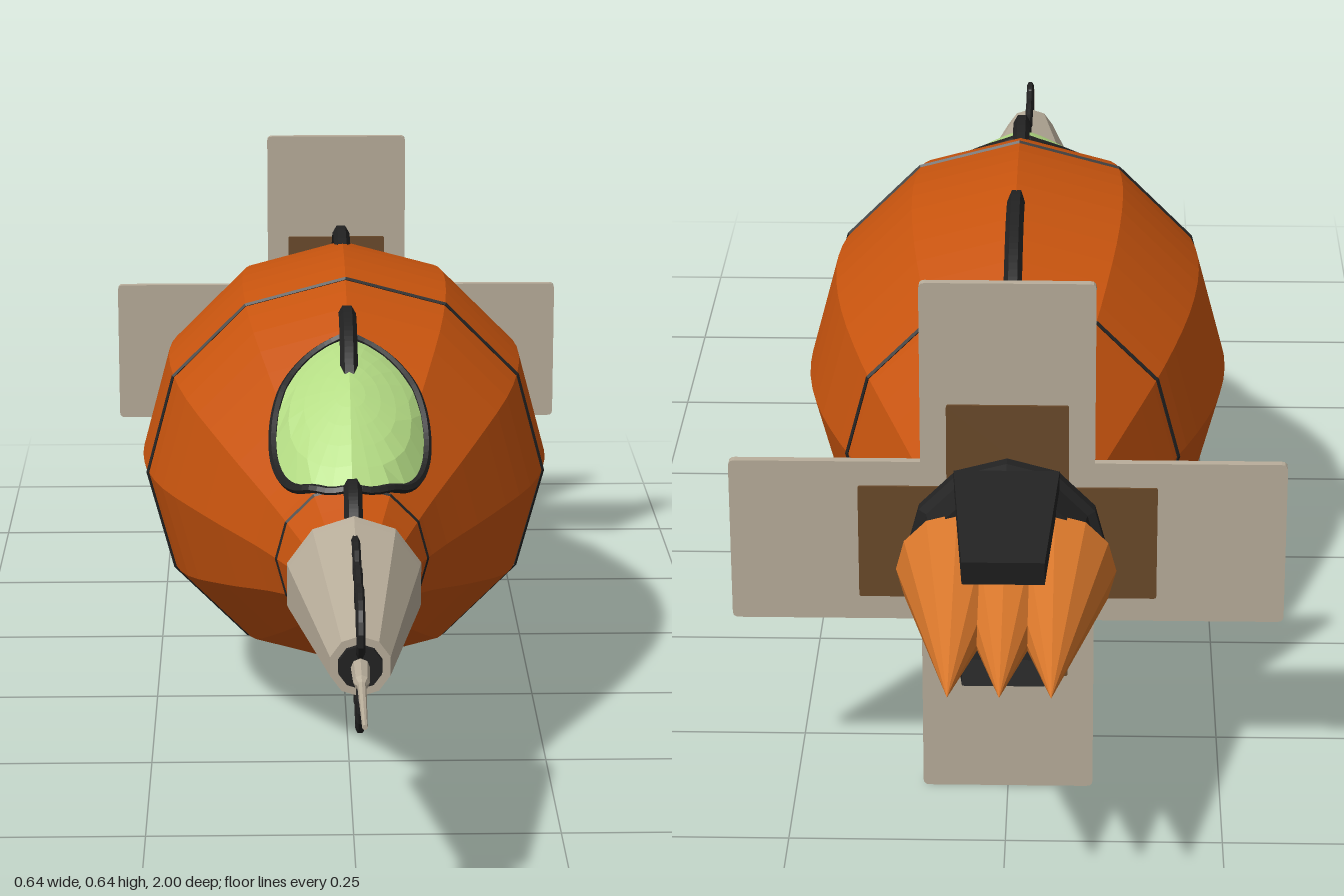
import * as THREE from 'three';

const AXIS = 0.32; // height of the long axis

const mat = (name, color, extra = {}) =>
  Object.assign(new THREE.MeshStandardMaterial({ color, ...extra }), { name });

// Hull radii at equal steps from z = -0.64 to z = 0.52
const Z0 = -0.64, Z1 = 0.52;
const radii = [0.085, 0.15, 0.212, 0.254, 0.266, 0.243, 0.18, 0.107, 0.045];
const profile = new THREE.SplineCurve(
  radii.map((r, i) => new THREE.Vector2(Z0 + (Z1 - Z0) * i / 8, r)));
const radiusAt = z => profile.getPoint(THREE.MathUtils.clamp((z - Z0) / (Z1 - Z0), 0, 1)).y;

// Height of the twelve-sided hull above its axis
function hullHeight(x, z) {
  const r = radiusAt(z), a = Math.abs(x);
  return a < r / 2 ? r - a * 0.268 : 0.866 * r - (a - r / 2);
}

export function createModel() {
  const model = new THREE.Group();
  model.name = 'airship';
  const flat = { flatShading: true };
  const orange = mat('hullOrange', 0xc8540e, flat);
  const lightOrange = mat('exhaustOrange', 0xd8772b, flat);
  const beige = mat('finBeige', 0xb9ae9b, flat);
  const brown = mat('panelBrown', 0x6b4a2a, flat);
  const black = mat('cordBlack', 0x222222, flat);
  const green = mat('canopyGreen', 0xb4dc84, { flatShading: true, side: THREE.DoubleSide });

  const add = (name, geometry, material, x = 0, y = 0, z = 0) => {
    const mesh = new THREE.Mesh(geometry, material);
    mesh.name = name;
    mesh.position.set(x, y, z);
    model.add(mesh);
    return mesh;
  };
  // Turned part along z from [radius, z] pairs, rear to front
  const turned = (name, pts, sides, material, x = 0) => {
    const g = new THREE.LatheGeometry(pts.map(p => new THREE.Vector2(p[0], p[1])), sides);
    return add(name, g.rotateX(Math.PI / 2), material, x, AXIS);
  };
  const tube = (name, pts, radius, closed = false) => add(name,
    new THREE.TubeGeometry(new THREE.CatmullRomCurve3(pts, closed), pts.length * 3, radius, 6, closed), black);

  // Hull with thin seam rings
  const hull = [[0, Z0]];
  for (let i = 0; i <= 28; i++) {
    const p = profile.getPoint(i / 28);
    hull.push([p.y, p.x]);
  }
  hull.push([0, Z1]);
  turned('hull', hull, 12, orange);
  for (const z of [0.41, 0.03, -0.38])
    add('seamRing', new THREE.TorusGeometry(radiusAt(z), 0.003, 4, 12), black, 0, AXIS, z);

  // Nose cone, muzzle and needle
  turned('noseCone', [[0, 0.51], [0.083, 0.51], [0.081, 0.525], [0.035, 0.806], [0.026, 0.806], [0.026, 0.795], [0, 0.795]], 10, beige);
  turned('muzzle', [[0.026, 0.795], [0.025, 0.81], [0, 0.81]], 10, black);
  turned('needle', [[0.011, 0.8], [0.009, 0.86], [0.005, 0.87], [0.003, 1], [0, 1]], 8, beige);

  // Cords weaving in and out of the hull and nose, above and below
  const arcs = [[0.52, 0.4, 0.035], [0.3, 0.1, 0.04], [-0.16, -0.43, 0.025], [-0.55, -0.65, 0.02]];
  const noseLoop = [[0.8, 0.01], [0.83, 0.03], [0.822, 0.062], [0.78, 0.08], [0.74, 0.068], [0.7, 0.078], [0.66, 0.066], [0.61, 0.078], [0.56, 0.07]];
  const noseZigzag = [[0.81, 0.035], [0.77, 0.08], [0.74, 0.045], [0.7, 0.077], [0.67, 0.055], [0.63, 0.078], [0.6, 0.062]];
  for (const side of [1, -1]) {
    for (const [a, b, h] of arcs) {
      const pts = [];
      for (let i = 0; i <= 8; i++) {
        const t = i / 8, z = a + (b - a) * t;
        const r = radiusAt(z) - 0.01 + h * Math.sin(Math.PI * t);
        pts.push(new THREE.Vector3(0, AXIS + side * r, z));
      }
      tube('hullCord', pts, 0.011);
    }
    for (const loop of [noseLoop, noseZigzag])
      tube('noseCord', loop.map(([z, r]) => new THREE.Vector3(0, AXIS + side * r, z)), 0.005);
  }

  // Canopy: a shallow dome whose rim follows the hull
  const domePoint = (s, a) => {
    const x = 0.094 * s * Math.sin(a), z = 0.292 + 0.126 * s * Math.cos(a);
    return new THREE.Vector3(x, AXIS + hullHeight(x, z) + 0.003 + 0.026 * (1 - s * s), z);
  };
  const RINGS = 5, SEGS = 24, pos = [], idx = [];
  for (let j = 0; j <= RINGS; j++)
    for (let i = 0; i <= SEGS; i++) pos.push(...domePoint(j / RINGS, i / SEGS * Math.PI * 2).toArray());
  for (let j = 0; j < RINGS; j++)
    for (let i = 0; i < SEGS; i++) {
      const a = j * (SEGS + 1) + i, b = a + SEGS + 1;
      idx.push(a, b, b + 1);
      if (j > 0) idx.push(a, b + 1, a + 1);
    }
  const dome = new THREE.BufferGeometry();
  dome.setAttribute('position', new THREE.Float32BufferAttribute(pos, 3));
  dome.setIndex(idx);
  dome.computeVertexNormals();
  add('canopy', dome, green);
  const rim = [];
  for (let i = 0; i < SEGS; i++) rim.push(domePoint(1, i / SEGS * Math.PI * 2));
  tube('canopyRim', rim, 0.006, true);

  // Cross of four tail fins with brown root panels
  const plate = (w, h, depth, r) => {
    const s = new THREE.Shape(), x = w / 2, y = h / 2;
    s.moveTo(-x + r, -y).lineTo(x - r, -y).quadraticCurveTo(x, -y, x, -y + r)
      .lineTo(x, y - r).quadraticCurveTo(x, y, x - r, y)
      .lineTo(-x + r, y).quadraticCurveTo(-x, y, -x, y - r)
      .lineTo(-x, -y + r).quadraticCurveTo(-x, -y, -x + r, -y);
    return new THREE.ExtrudeGeometry(s, { depth, bevelEnabled: false, curveSegments: 3 })
      .translate(0, 0, -depth / 2);
  };
  for (let k = 0; k < 4; k++) {
    const a = k * Math.PI / 2;
    const fin = add('tailFin', plate(0.2, 0.26, 0.01, 0.007).translate(0, 0.19, 0), beige, 0, AXIS, -0.617);
    const panel = add('finPanel', plate(0.14, 0.12, 0.016, 0.003).translate(0, 0.112, 0), brown, 0, AXIS, -0.617);
    fin.rotation.z = panel.rotation.z = a;
    // keep the vertical and horizontal spans at 0.64
  }

  // Tail collar
  turned('tailCollar', [[0, -0.7], [0.098, -0.7], [0.106, -0.662], [0.116, -0.66], [0.116, -0.645], [0.09, -0.635], [0, -0.635]], 12, black);

  // Three exhaust cones side by side
  for (const x of [-0.055, 0, 0.055])
    turned('exhaustCone', [[0, -1], [0.07, -0.695], [0, -0.695]], 12, lightOrange, x);

  // Tapered straps above and below the cones
  for (const side of [1, -1]) {
    const g = new THREE.BoxGeometry(0.12, 0.03, 0.17);
    const p = g.attributes.position;
    for (let i = 0; i < p.count; i++) if (p.getZ(i) < 0) p.setX(i, p.getX(i) * 0.76);
    const strap = add('tailStrap', g, black, 0, AXIS + side * 0.078, -0.745);
    strap.rotation.x = -side * 0.2;
  }
  return model;
}
